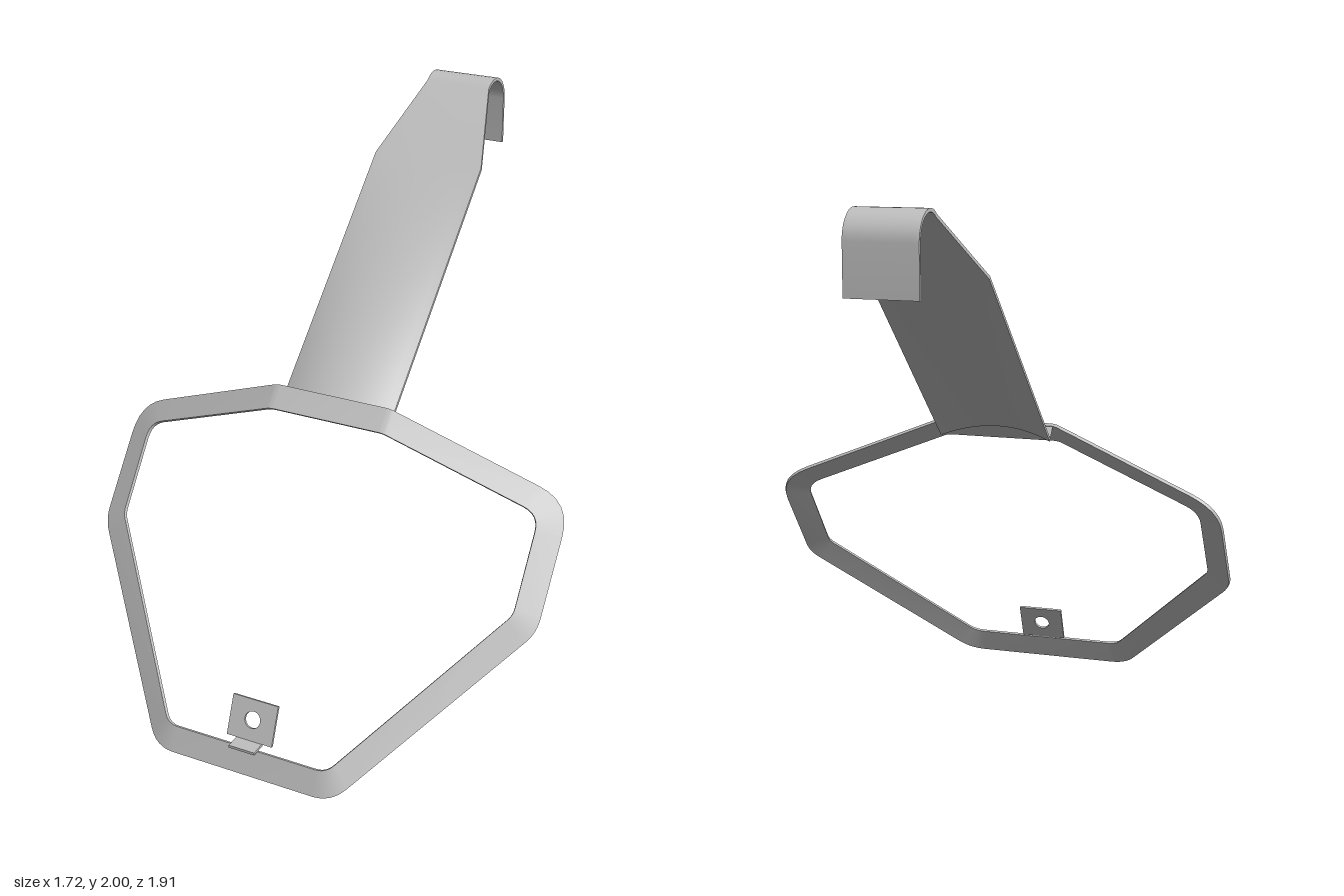
import * as THREE from 'three';
import { toCreasedNormals } from 'three/addons/utils/BufferGeometryUtils.js';

const V = (x, y, z) => new THREE.Vector3(x, y, z);
const steel = new THREE.MeshStandardMaterial({ color: 0xc0c0c0, side: THREE.DoubleSide });
steel.name = 'steel grey';
const THICK = 0.012;

function part(name, geometry) {
  const mesh = new THREE.Mesh(geometry, steel);
  mesh.name = name;
  return mesh;
}

// Skin a row of closed cross-sections; either join the ends or cap them
function loft(rings, closed) {
  const n = rings[0].length, m = rings.length, index = [];
  const quad = (a, b, c, d) => index.push(a, b, c, a, c, d);
  for (let i = 0; i < (closed ? m : m - 1); i++) {
    const p = i * n, q = ((i + 1) % m) * n;
    for (let k = 0; k < n; k++) quad(p + k, q + k, q + (k + 1) % n, p + (k + 1) % n);
  }
  if (!closed) {
    const e = (m - 1) * n;
    for (let j = 0; j < n / 2 - 1; j++) {
      quad(j, j + 1, n - 2 - j, n - 1 - j);
      quad(e + j, e + n - 1 - j, e + n - 2 - j, e + j + 1);
    }
  }
  const g = new THREE.BufferGeometry();
  g.setAttribute('position', new THREE.Float32BufferAttribute(rings.flat().flatMap(p => p.toArray()), 3));
  g.setIndex(index);
  return toCreasedNormals(g, 0.5);
}

// Mirror half a loop of [x, y, z, corner setback] and round its corners
function roundedLoop(half) {
  const pts = [...half, ...half.slice().reverse().map(([x, y, z, r]) => [-x, y, z, r])];
  const out = [], steps = 6;
  pts.forEach(([x, y, z, r], i) => {
    const c = V(x, y, z);
    const toward = p => c.clone().add(V(p[0], p[1], p[2]).sub(c).setLength(r));
    const prev = toward(pts[(i + pts.length - 1) % pts.length]);
    const next = toward(pts[(i + 1) % pts.length]);
    out.push(...new THREE.QuadraticBezierCurve3(prev, c, next).getPoints(steps));
  });
  return out;
}

// Bent flat strap running round the opening, its inner edge raised forward
function hoop() {
  const outer = roundedLoop([
    [0.345, 0.006, 0.957, 0.07], [0.86, 0.525, 0.435, 0.05],
    [0.86, 0.885, 0.155, 0.12], [0.22, 1.14, 0.245, 0.02]]);
  const inner = roundedLoop([
    [0.31, 0.095, 0.925, 0.04], [0.775, 0.575, 0.44, 0.025],
    [0.775, 0.855, 0.23, 0.06], [0.22, 1.073, 0.305, 0.02]]);
  const n = outer.length;
  const rings = outer.map((a, i) => {
    const b = inner[i];
    const along = outer[(i + 1) % n].clone().sub(outer[(i + n - 1) % n]);
    const back = along.cross(b.clone().sub(a)).setLength(-THICK);
    return [a, b, b.clone().add(back), a.clone().add(back)];
  });
  return part('hoop', loft(rings, true));
}

// Arched back plate flattening upward, tapering, then curling into a hook
const COLS = 14;
const slope = Math.atan2(0.774, 0.633);
function plateSection({ y, z, w, s, a }) {
  // a is the angle of the outward normal, measured from +z toward +y
  const row = depth => Array.from({ length: COLS + 1 }, (_, j) => {
    const u = 1 - 2 * j / COLS, d = s * u * u + depth;
    return V(w * u, y - d * Math.sin(a), z - d * Math.cos(a));
  });
  return [...row(0), ...row(THICK).reverse()];
}
const plateFoot = { y: 1.13, z: 0.24, w: 0.212, s: 0.052, a: slope };

function hangerPlate() {
  const stations = [];
  for (let i = 0; i <= 6; i++) {
    const t = i / 6;
    stations.push({ y: 1.13 + 0.633 * t, z: 0.24 - 0.77 * t, w: 0.212, s: 0.052 * (1 - t), a: slope });
  }
  for (let i = 0; i <= 12; i++) {
    const a = slope + (Math.PI - slope) * i / 12;
    stations.push({ y: 1.9 + 0.1 * Math.sin(a), z: -0.858 + 0.1 * Math.cos(a), w: 0.125, s: 0, a });
  }
  stations.push({ y: 1.727, z: -0.958, w: 0.125, s: 0, a: Math.PI });
  return part('hangerPlate', loft(stations.map(plateSection), false));
}

// Thin web closing the gap between the hoop and the foot of the plate
function jointWeb() {
  const g = new THREE.PlaneGeometry(1, 1, COLS, 1);
  const foot = plateSection(plateFoot);
  for (let j = 0; j <= COLS; j++) {
    const p = foot[j];
    g.attributes.position.setXYZ(j, p.x, 1.137, 0.244);
    g.attributes.position.setXYZ(j + COLS + 1, p.x, p.y, p.z);
  }
  g.computeVertexNormals();
  return part('jointWeb', g);
}

// Small drilled lug standing on a flat foot
function lug() {
  const group = new THREE.Group();
  group.name = 'lug';
  const shape = new THREE.Shape([[-0.088, 0], [0.088, 0], [0.088, 0.145], [-0.088, 0.145]]
    .map(([x, y]) => new THREE.Vector2(x, y)));
  shape.holes.push(new THREE.Path().absarc(0, 0.074, 0.03, 0, Math.PI * 2, true));
  const plate = part('lugPlate', new THREE.ExtrudeGeometry(shape, { depth: 0.01, bevelEnabled: false, curveSegments: 16 }));
  plate.position.set(0, 0.103, 0.888);
  plate.rotation.x = -0.39;
  const foot = part('lugFoot', new THREE.BoxGeometry(0.1, 0.01, 0.058));
  foot.position.set(0, 0.102, 0.921);
  group.add(plate, foot);
  return group;
}

export function createModel() {
  const model = new THREE.Group();
  model.name = 'hangingFrame';
  model.add(hoop(), hangerPlate(), jointWeb(), lug());
  return model;
}
